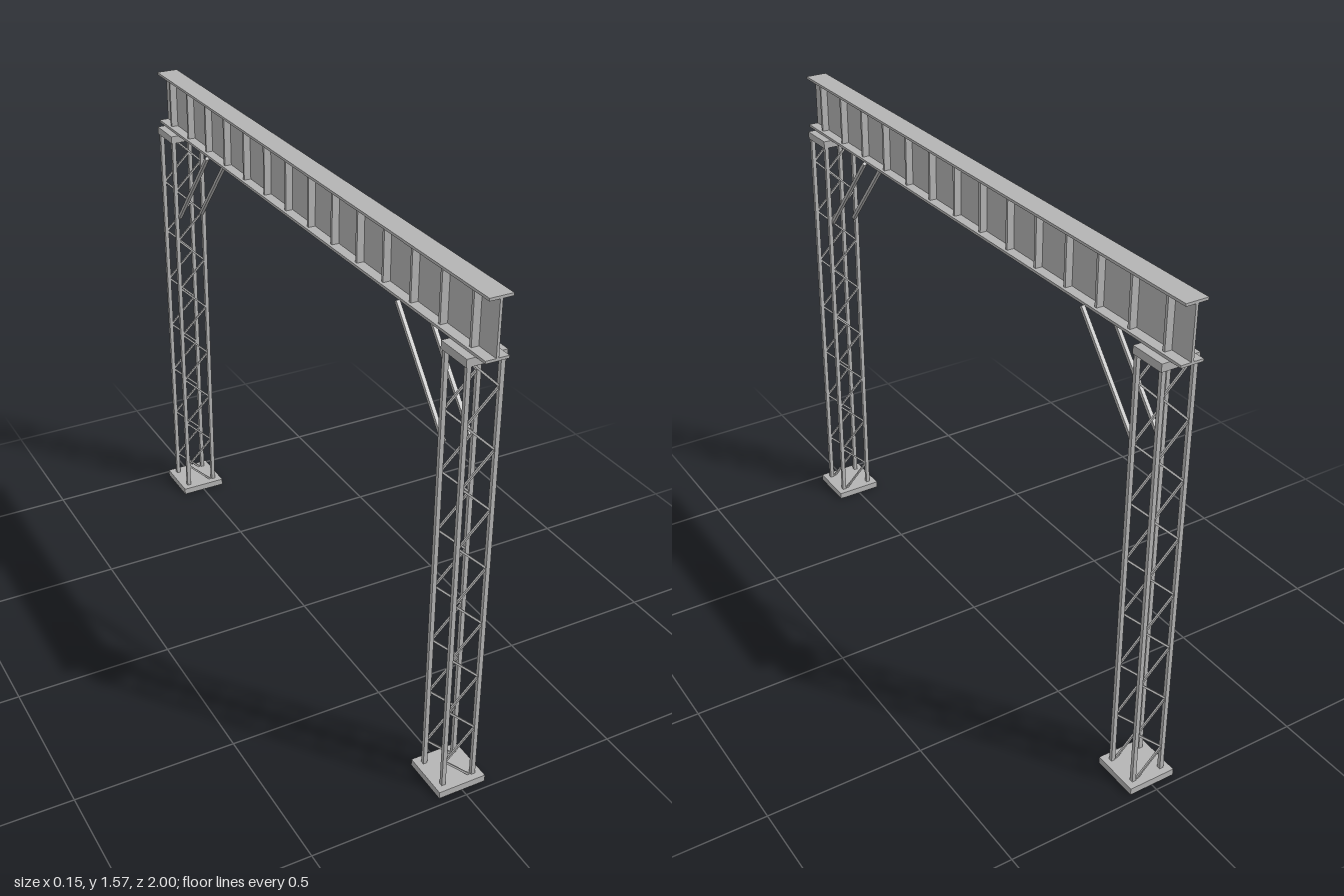
import * as THREE from 'three';

export function createModel() {
  const model = new THREE.Group();
  model.name = 'gantry';
  const steel = new THREE.MeshStandardMaterial({ color: 0xb4b4b4 });
  steel.name = 'grey steel';

  const box = (parent, name, w, h, d, x, y, z) => {
    const mesh = new THREE.Mesh(new THREE.BoxGeometry(w, h, d), steel);
    mesh.name = name;
    mesh.position.set(x, y, z);
    parent.add(mesh);
    return mesh;
  };

  // Straight bar of rectangular section between two points
  const bar = (parent, name, a, b, w, d) => {
    const dir = b.clone().sub(a);
    const mid = a.clone().add(b).multiplyScalar(0.5);
    const mesh = box(parent, name, w, dir.length(), d, mid.x, mid.y, mid.z);
    mesh.quaternion.setFromUnitVectors(new THREE.Vector3(0, 1, 0), dir.normalize());
  };

  // I-beam girder with web stiffeners
  const girder = new THREE.Group();
  girder.name = 'girder';
  model.add(girder);
  const bottom = 1.4, top = 1.574, flange = 0.008;
  const midY = (bottom + top) / 2, webH = top - bottom - 2 * flange;
  box(girder, 'topFlange', 0.07, flange, 2, 0, top - flange / 2, 0);
  box(girder, 'bottomFlange', 0.07, flange, 2, 0, bottom + flange / 2, 0);
  box(girder, 'web', 0.008, webH, 2, 0, midY, 0);
  for (let i = 0; i < 14; i++) {
    const z = -0.92 + (i * 1.84) / 13;
    for (const s of [-1, 1]) box(girder, 'stiffener', 0.022, webH, 0.009, s * 0.015, midY, z);
  }

  // Laced towers, one at each end
  for (const end of [-1, 1]) {
    const tower = new THREE.Group();
    tower.name = end > 0 ? 'frontTower' : 'backTower';
    model.add(tower);
    const cz = end * 0.9;
    box(tower, 'basePlate', 0.154, 0.022, 0.154, 0, 0.011, cz);
    box(tower, 'capPlate', 0.12, 0.024, 0.116, 0, 1.388, cz);

    for (const sz of [-1, 1]) {
      const z = cz + sz * 0.05;
      for (const sx of [-1, 1]) box(tower, 'post', 0.013, 1.36, 0.012, sx * 0.05, 0.7, z);

      // Zigzag lacing between the two posts
      const steps = 15, y0 = 0.012, rise = (1.388 - y0) / steps;
      for (let i = 0; i < steps; i++) {
        const s = i % 2 ? -1 : 1;
        bar(tower, 'lacing',
          new THREE.Vector3(s * 0.047, y0 + i * rise, z),
          new THREE.Vector3(-s * 0.047, y0 + (i + 1) * rise, z), 0.006, 0.006);
      }
    }

    // Diagonal knee braces up to the girder
    for (const sx of [-1, 1]) {
      bar(tower, 'kneeBrace',
        new THREE.Vector3(sx * 0.04, 1.105, end * 0.847),
        new THREE.Vector3(sx * 0.04, 1.4, end * 0.597), 0.011, 0.011);
    }
  }
  return model;
}
